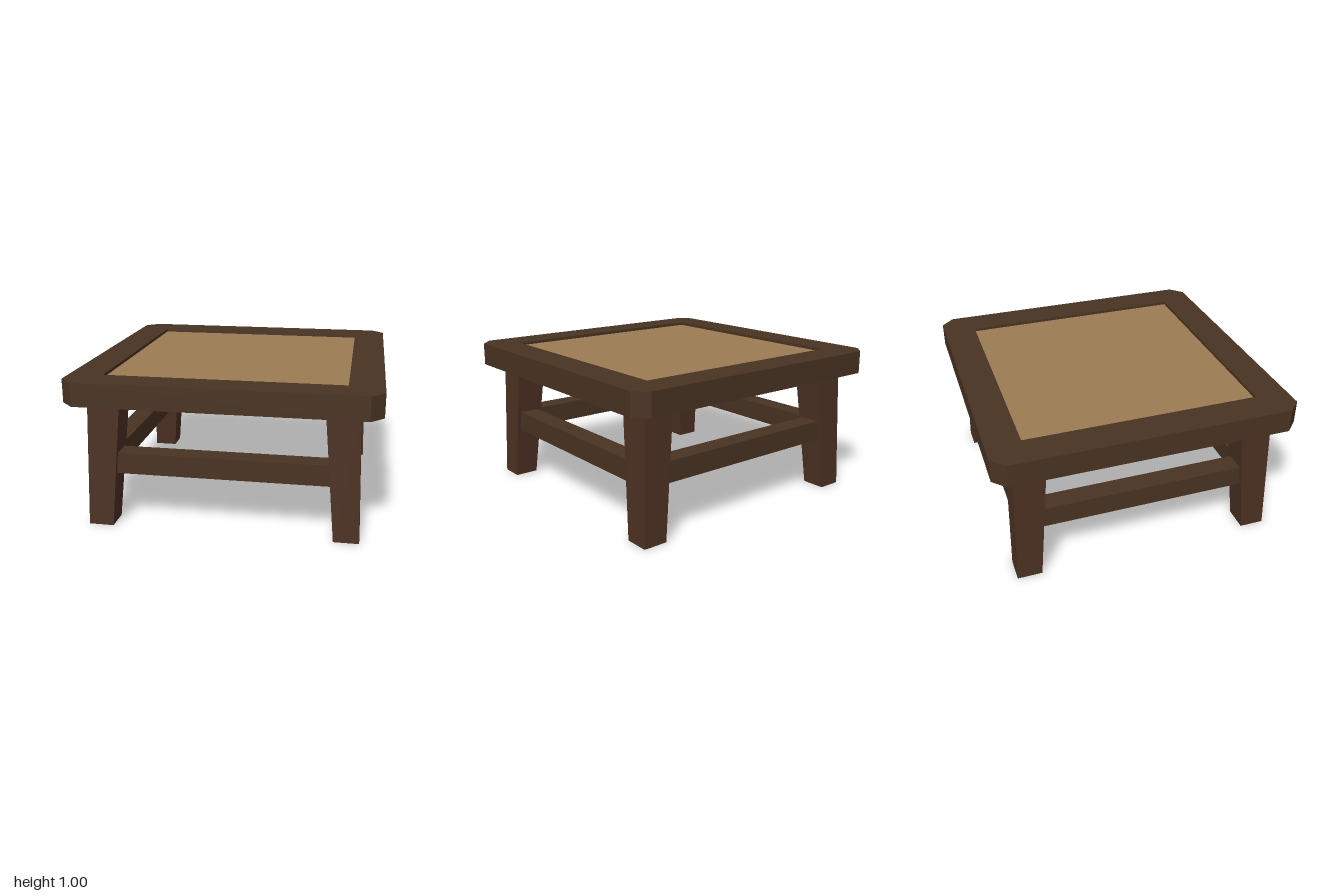
import * as THREE from 'three';

const material = (name, color) => {
  const m = new THREE.MeshStandardMaterial({ color });
  m.name = name;
  return m;
};

export function createModel() {
  const frameWood = material('dark frame wood', 0x493322);
  const legWood = material('reddish leg wood', 0x4c3123);
  const panelWood = material('light panel', 0x9c7c54);

  const table = new THREE.Group();
  table.name = 'lowTable';
  const add = (name, geometry, mat, x = 0, y = 0, z = 0) => {
    const mesh = new THREE.Mesh(geometry, mat);
    mesh.name = name;
    mesh.position.set(x, y, z);
    table.add(mesh);
    return mesh;
  };

  // Top frame: chamfered square ring lying flat
  const c = 0.915, h = 0.778, underside = 0.845;
  const points = (list) => list.map(([x, y]) => new THREE.Vector2(x, y));
  const outline = new THREE.Shape(points([
    [c, -1], [1, -c], [1, c], [c, 1], [-c, 1], [-1, c], [-1, -c], [-c, -1],
  ]));
  outline.holes.push(new THREE.Path(points([[-h, -h], [-h, h], [h, h], [h, -h]])));
  const frame = new THREE.ExtrudeGeometry(outline, { depth: 1 - underside, bevelEnabled: false });
  frame.rotateX(-Math.PI / 2);
  add('topFrame', frame, frameWood, 0, underside, 0);

  // Slightly recessed centre panel
  add('topPanel', new THREE.BoxGeometry(2 * h, 0.11, 2 * h), panelWood, 0, 0.925, 0);

  // Splayed legs: a box whose ends are resized and shifted outwards
  const legHeight = 0.85;
  for (const sx of [-1, 1]) {
    for (const sz of [-1, 1]) {
      const leg = new THREE.BoxGeometry(1, legHeight, 1).translate(0, legHeight / 2, 0);
      const p = leg.attributes.position;
      for (let i = 0; i < p.count; i++) {
        const top = p.getY(i) > 0.1;
        const width = top ? 0.212 : 0.165;
        const centre = top ? 0.757 : 0.807;
        p.setX(i, p.getX(i) * width + sx * centre);
        p.setZ(i, p.getZ(i) * width + sz * centre);
      }
      leg.computeVertexNormals();
      add(`${sz > 0 ? 'front' : 'back'}${sx > 0 ? 'Left' : 'Right'}Leg`, leg, legWood);
    }
  }

  // Stretchers joining neighbouring legs
  for (const s of [-1, 1]) {
    add(s > 0 ? 'frontStretcher' : 'backStretcher',
      new THREE.BoxGeometry(1.5, 0.14, 0.14), frameWood, 0, 0.43, s * 0.78);
    add(s > 0 ? 'leftStretcher' : 'rightStretcher',
      new THREE.BoxGeometry(0.14, 0.14, 1.5), frameWood, s * 0.78, 0.43, 0);
  }

  return table;
}
